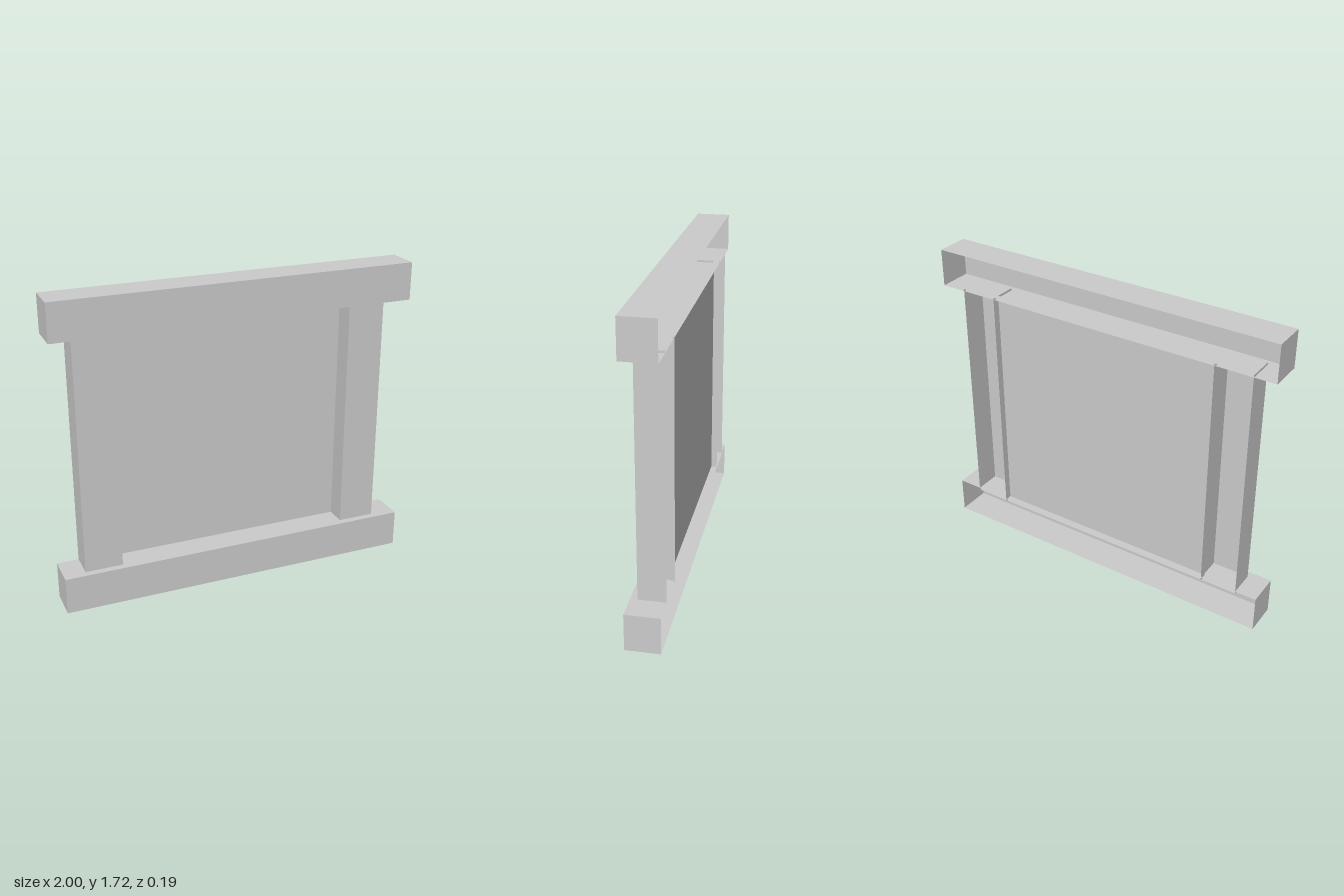
import * as THREE from 'three';

const material = new THREE.MeshStandardMaterial({
  color: 0xcccccc, flatShading: true, side: THREE.DoubleSide,
});

// Hollow box without its back (-z) face, given by its limits on each axis
function openBackBox(name, [x0, x1], [y0, y1], [z0, z1]) {
  const geometry = new THREE.BoxGeometry(x1 - x0, y1 - y0, z1 - z0);
  geometry.setIndex(Array.from(geometry.index.array).slice(0, 30)); // last face is -z
  geometry.clearGroups();
  geometry.translate((x0 + x1) / 2, (y0 + y1) / 2, (z0 + z1) / 2);
  const mesh = new THREE.Mesh(geometry, material);
  mesh.name = name;
  return mesh;
}

export function createModel() {
  const group = new THREE.Group();
  group.name = 'framedPanel';

  const back = -0.093;
  const railHeight = 0.207, height = 1.723;
  const overlap = 0.012; // posts and panel run slightly into the rails
  const span = [railHeight - overlap, height - railHeight + overlap];

  // Bottom and top rails
  group.add(openBackBox('bottomRail', [-1, 1], [0, railHeight], [back, 0.093]));
  group.add(openBackBox('topRail', [-1, 1], [height - railHeight, height], [back, 0.093]));

  // Side posts, set a little off centre
  group.add(openBackBox('rightPost', [-0.88, -0.672], span, [back, 0.055]));
  group.add(openBackBox('leftPost', [0.652, 0.86], span, [back, 0.055]));

  // Recessed shallow panel between the posts
  group.add(openBackBox('panel', [-0.678, 0.658], span, [back, -0.06]));

  return group;
}
